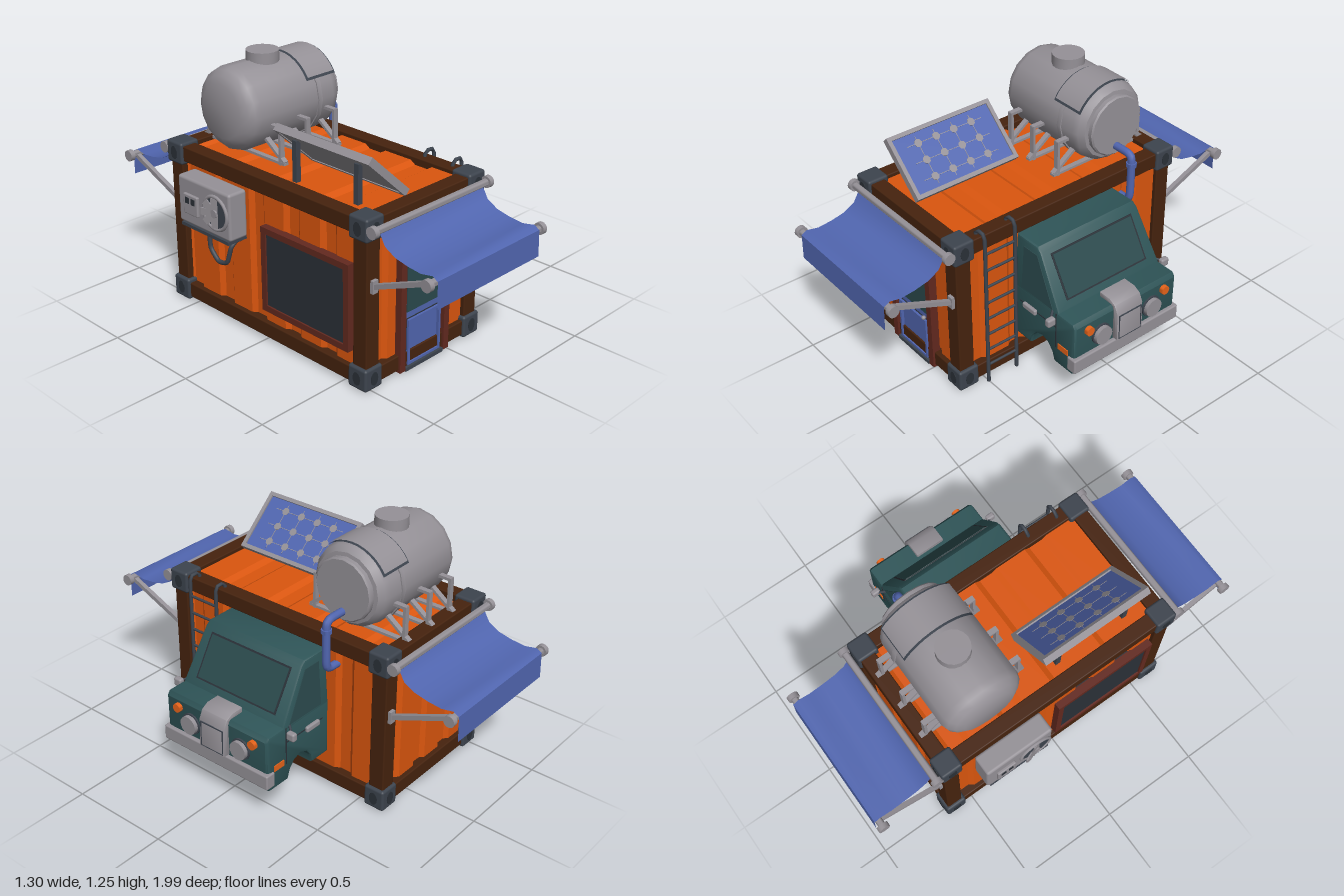
import * as THREE from 'three';
import { toCreasedNormals } from 'three/addons/utils/BufferGeometryUtils.js';
import { RoundedBoxGeometry } from 'three/addons/geometries/RoundedBoxGeometry.js';

const mat = (name, color, side = THREE.FrontSide) => {
  const m = new THREE.MeshStandardMaterial({ color, side });
  m.name = name;
  return m;
};
const V = (x, y, z) => new THREE.Vector3(x, y, z);

export function createModel() {
  const orange = mat('orange', 0xdb560e), brown = mat('dark brown', 0x46230e), slate = mat('slate', 0x3d444e);
  const grey = mat('grey', 0x959197), blue = mat('blue', 0x5166b0, THREE.DoubleSide), teal = mat('teal', 0x2f5558);
  const glass = mat('dark teal glass', 0x2b4a4d), maroon = mat('maroon', 0x63291f), amber = mat('amber', 0xe8641a);
  const dark = mat('charcoal', 0x2b3138);

  const root = new THREE.Group();
  const group = (name, parent = root) => {
    const g = new THREE.Group();
    g.name = name;
    parent.add(g);
    return g;
  };
  const add = (p, name, geo, m, pos = [0, 0, 0], rot = [0, 0, 0]) => {
    const mesh = new THREE.Mesh(geo, m);
    mesh.name = name;
    mesh.position.set(...pos);
    mesh.rotation.set(...rot);
    p.add(mesh);
    return mesh;
  };
  const box = (p, name, m, size, pos, rot) => add(p, name, new THREE.BoxGeometry(...size), m, pos, rot);
  const rbox = (p, name, m, size, pos, r = 0.012) => add(p, name, new RoundedBoxGeometry(...size, 2, r), m, pos);
  const cyl = (p, name, m, r, h, pos, rot, n = 16) => add(p, name, toCreasedNormals(new THREE.CylinderGeometry(r, r, h, n), 0.9), m, pos, rot);
  // square or round bar between two points
  const bar = (p, name, m, a, b, w, d = w, round = false) => {
    const len = a.distanceTo(b);
    const g = round ? new THREE.CylinderGeometry(w / 2, w / 2, len, 10) : new THREE.BoxGeometry(w, len, d);
    const mesh = add(p, name, g, m);
    mesh.position.copy(a).lerp(b, 0.5);
    mesh.quaternion.setFromUnitVectors(V(0, 1, 0), b.clone().sub(a).normalize());
    return mesh;
  };
  const tube = (p, name, m, pts, r, n = 32) => add(p, name, new THREE.TubeGeometry(new THREE.CatmullRomCurve3(pts.map(q => V(...q)), false, 'catmullrom', 0.3), n, r, 10), m);
  // rectangular outline in local xy
  const frame = (p, name, m, w, h, t, depth, pos, rot) => {
    const s = new THREE.Shape([[-w, -h], [w, -h], [w, h], [-w, h]].map(q => new THREE.Vector2(q[0] / 2, q[1] / 2)));
    const a = w / 2 - t, b = h / 2 - t;
    s.holes.push(new THREE.Path([[-a, -b], [-a, b], [a, b], [a, -b]].map(q => new THREE.Vector2(...q))));
    return add(p, name, new THREE.ExtrudeGeometry(s, { depth, bevelEnabled: false }).translate(0, 0, -depth / 2), m, pos, rot);
  };
  const extrude = (pts, depth, bevel = 0) => new THREE.ExtrudeGeometry(
    new THREE.Shape(pts.map(q => new THREE.Vector2(...q))),
    { depth: depth - 2 * bevel, bevelEnabled: bevel > 0, bevelSize: bevel, bevelOffset: -bevel, bevelThickness: bevel, bevelSegments: 2 }
  ).translate(0, 0, bevel - depth / 2);

  // ---- container: corrugated panels, frame and corner castings ----
  const box0 = group('container');
  box0.position.x = -0.16;
  const corrugated = (len, height, n) => {
    const pts = [[-len / 2, -0.02]], step = len / n;
    for (let i = 0; i < n; i++) {
      const x = -len / 2 + i * step;
      pts.push([x, 0], [x + step * 0.55, 0], [x + step * 0.65, -0.018], [x + step * 0.9, -0.018]);
    }
    pts.push([len / 2, 0], [len / 2, -0.03], [-len / 2, -0.03]);
    return extrude(pts.reverse(), height);
  };
  for (const s of [-1, 1]) {
    const end = corrugated(0.6, 0.66, 3).rotateX(-Math.PI / 2);
    add(box0, 'endWall', end, orange, [0, 0.415, s * 0.615], [0, s > 0 ? Math.PI : 0, 0]);
    const side = corrugated(1.14, 0.66, 5).rotateX(-Math.PI / 2);
    add(box0, 'sideWall', side, orange, [s * 0.345, 0.415, 0], [0, -s * Math.PI / 2, 0]);
    const deck = corrugated(1.14, 0.62, 4).rotateY(Math.PI / 2);
    add(box0, s > 0 ? 'roof' : 'floor', deck, orange, [0, s > 0 ? 0.79 : 0.04, 0], [s > 0 ? 0 : Math.PI, 0, 0]);
    for (const y of [0.057, 0.772]) {
      rbox(box0, 'endBeam', brown, [0.62, 0.075, 0.075], [0, y, s * 0.6], 0.006);
      rbox(box0, 'sideBeam', brown, [0.075, 0.075, 1.16], [s * 0.33, y, 0], 0.006);
    }
    for (const t of [-1, 1]) {
      rbox(box0, 'cornerPost', brown, [0.08, 0.66, 0.08], [s * 0.325, 0.415, t * 0.597], 0.006);
      for (const y of [0.06, 0.77]) {
        rbox(box0, 'cornerCasting', slate, [0.107, 0.108, 0.108], [s * 0.327, y, t * 0.596]);
        const ovalZ = cyl(box0, 'castingSlot', dark, 0.022, 0.006, [s * 0.327, y, t * 0.65], [Math.PI / 2, 0, 0]);
        ovalZ.scale.z = 1.5;
        const ovalX = cyl(box0, 'castingSlot', dark, 0.022, 0.006, [s * 0.38, y, t * 0.596], [0, 0, Math.PI / 2]);
        ovalX.scale.x = 1.5;
      }
    }
  }

  // ---- front door ----
  const door = group('door');
  box(door, 'doorLeaf', blue, [0.25, 0.72, 0.03], [-0.158, 0.375, 0.615]);
  box(door, 'doorWindow', glass, [0.215, 0.235, 0.008], [-0.157, 0.405, 0.63]);
  frame(door, 'lowerPanelFrame', blue, 0.215, 0.225, 0.012, 0.015, [-0.157, 0.14, 0.637]);
  frame(door, 'panelGroove', dark, 0.223, 0.233, 0.006, 0.006, [-0.157, 0.14, 0.63]);
  box(door, 'threshold', slate, [0.25, 0.018, 0.05], [-0.158, 0.012, 0.625]);
  for (const x of [-0.302, -0.012]) box(door, 'doorPost', maroon, [0.034, 0.74, 0.04], [x, 0.378, 0.628]);
  add(door, 'doorKnob', new THREE.SphereGeometry(0.011, 12, 8), grey, [-0.052, 0.275, 0.65]);

  // ---- awnings at both ends ----
  for (const s of [1, -1]) {
    const awning = group(s > 0 ? 'frontAwning' : 'backAwning');
    const q = Math.PI / 2;
    for (const [y, z] of [[0.775, 0.672], [0.645, 0.968]]) {
      cyl(awning, 'roller', grey, 0.017, 0.74, [-0.16, y, s * z], [0, 0, q]);
      for (const x of [-0.528, 0.208]) cyl(awning, 'rollerCap', grey, 0.028, 0.024, [x, y, s * z], [0, 0, q]);
    }
    const line = [[0.675, 0.76], [0.705, 0.71], [0.76, 0.68], [0.83, 0.665], [0.9, 0.658], [0.96, 0.67], [0.988, 0.655], [0.992, 0.53]];
    const cloth = new THREE.PlaneGeometry(0.665, 1, 1, line.length - 1), pos = cloth.attributes.position;
    for (let i = 0; i < pos.count; i++) {
      const [z, y] = line[Math.floor(i / 2)];
      pos.setXYZ(i, pos.getX(i), y, s * z);
    }
    if (s < 0) cloth.index.array.reverse();
    cloth.computeVertexNormals();
    add(awning, 'awningCloth', toCreasedNormals(cloth, 0.7), blue, [-0.158, 0, 0]);
    for (const x of [-0.488, 0.172]) {
      bar(awning, 'awningArm', grey, V(x, 0.505, s * 0.645), V(x, 0.64, s * 0.965), 0.022);
      box(awning, 'armBracket', grey, [0.032, 0.06, 0.02], [x, 0.505, s * 0.643]);
    }
  }

  // ---- water tank ----
  const tank = group('waterTank');
  tank.position.set(0, 1.015, -0.34);
  const prof = [[0, -0.458], [0.13, -0.458], [0.165, -0.44], [0.19, -0.415], [0.2, -0.385], [0.2, 0.06], [0.192, 0.09], [0.17, 0.115], [0.152, 0.118], [0.152, 0.138], [0.145, 0.145], [0, 0.145]];
  const lathe = new THREE.LatheGeometry(prof.map(p => new THREE.Vector2(...p)), 16);
  add(tank, 'tankBody', toCreasedNormals(lathe.rotateZ(-Math.PI / 2), 0.6), grey);
  cyl(tank, 'tankBand', grey, 0.206, 0.024, [-0.027, 0, 0], [0, 0, Math.PI / 2], 16);
  cyl(tank, 'fillerNeck', grey, 0.078, 0.08, [-0.2, 0.2, 0], [0, 0, 0], 18);
  // curved hatch plate with a dark edge
  for (const [m, r, w, a] of [[slate, 0.204, 0.182, 1.06], [grey, 0.209, 0.164, 1.0]]) {
    const arc = new THREE.CylinderGeometry(r, r, w, 12, 1, true, Math.PI / 2 - a, 2 * a);
    add(tank, 'hatchPlate', arc.rotateZ(Math.PI / 2), m);
  }
  for (const x of [-0.322, -0.158, 0.018]) {
    for (const s of [-1, 1]) {
      bar(tank, 'tankPost', grey, V(x, -0.225, s * 0.25), V(x, -0.045, s * 0.25), 0.026, 0.014);
      bar(tank, 'tankClamp', grey, V(x, -0.05, s * 0.255), V(x, -0.05, s * 0.185), 0.026, 0.014);
      bar(tank, 'tankStrut', grey, V(x, -0.21, s * 0.275), V(x, -0.12, s * 0.15), 0.026, 0.014);
    }
    box(tank, 'tankFoot', grey, [0.026, 0.012, 0.56], [x, -0.215, 0]);
  }
  tube(root, 'waterPipe', blue, [[0.13, 0.91, -0.34], [0.22, 0.91, -0.34], [0.246, 0.9, -0.34], [0.252, 0.87, -0.34], [0.252, 0.71, -0.34], [0.246, 0.675, -0.34], [0.225, 0.662, -0.34], [0.17, 0.66, -0.34]], 0.019);
  cyl(root, 'pipeCollar', blue, 0.025, 0.02, [0.252, 0.86, -0.34]);

  // ---- solar panel ----
  const solar = group('solarPanel');
  solar.position.set(-0.305, 0.915, 0.267);
  solar.rotation.z = -0.74;
  box(solar, 'panelBack', grey, [0.3, 0.02, 0.565], [0, -0.004, 0]);
  frame(solar, 'panelRim', grey, 0.315, 0.575, 0.02, 0.036, [0, 0, 0], [-Math.PI / 2, 0, 0]);
  box(solar, 'solarCells', blue, [0.276, 0.006, 0.536], [0, 0.007, 0]);
  for (const x of [-0.085, 0, 0.085]) {
    box(solar, 'cellLine', grey, [0.003, 0.002, 0.42], [x, 0.0105, 0]);
    for (const z of [-0.15, -0.05, 0.05, 0.15]) cyl(solar, 'cellContact', grey, 0.02, 0.003, [x, 0.0105, z], [0, 0, 0], 8);
  }
  for (const z of [-0.15, -0.05, 0.05, 0.15]) box(solar, 'cellLine', grey, [0.24, 0.002, 0.003], [0, 0.0105, z]);
  for (const z of [0.08, 0.455]) bar(root, 'solarPost', slate, V(-0.39, 0.78, z), V(-0.39, 0.975, z), 0.026);

  // ---- truck cab on the left side ----
  const cab = group('cab');
  const lower = [[0.19, 0.175], [0.305, 0.175], [0.315, 0.22], [0.345, 0.255], [0.385, 0.268], [0.425, 0.255], [0.455, 0.22], [0.47, 0.175], [0.595, 0.175], [0.608, 0.2], [0.61, 0.44], [0.595, 0.462], [0.19, 0.465]];
  add(cab, 'cabBody', toCreasedNormals(extrude(lower, 0.615, 0.015), 0.6), teal);
  const taper = g => {
    const p = g.attributes.position;
    for (let i = 0; i < p.count; i++) p.setZ(i, p.getZ(i) * (1 - 0.22 * (p.getY(i) - 0.45)));
    return toCreasedNormals(g, 0.6);
  };
  add(cab, 'cabUpper', taper(extrude([[0.19, 0.44], [0.505, 0.44], [0.495, 0.47], [0.355, 0.705], [0.33, 0.724], [0.19, 0.724]], 0.612, 0.012)), teal);
  add(cab, 'sideWindows', taper(extrude([[0.245, 0.465], [0.462, 0.465], [0.337, 0.685], [0.245, 0.685]], 0.618)), glass);
  for (const [w, h, o, m] of [[0.225, 0.48, 0, dark], [0.208, 0.462, 0.002, glass]])
    box(cab, 'windscreen', m, [0.008, w, h], [0.421 + o, 0.591 + o / 2, 0], [0, 0, 0.54]);
  for (const s of [-1, 1]) {
    box(cab, 'doorSeam', dark, [0.25, 0.005, 0.004], [0.36, 0.385, s * 0.308]);
    box(cab, 'doorSeam', dark, [0.005, 0.19, 0.004], [0.487, 0.365, s * 0.308]);
    rbox(cab, 'doorHandle', grey, [0.09, 0.03, 0.02], [0.312, 0.384, s * 0.314], 0.008);
    box(cab, 'sideMarker', amber, [0.066, 0.03, 0.01], [0.537, 0.287, s * 0.307]);
    bar(cab, 'mirrorArm', slate, V(0.455, 0.46, s * 0.3), V(0.49, 0.44, s * 0.345), 0.012, 0.012, true);
    rbox(cab, 'mirror', grey, [0.03, 0.042, 0.045], [0.492, 0.437, s * 0.345], 0.01);
    cyl(cab, 'headlight', grey, 0.046, 0.03, [0.622, 0.348, s * 0.152], [0, 0, Math.PI / 2], 18);
    cyl(cab, 'headlightRim', slate, 0.053, 0.012, [0.612, 0.348, s * 0.152], [0, 0, Math.PI / 2], 18);
    cyl(cab, 'indicator', amber, 0.022, 0.03, [0.615, 0.407, s * 0.228], [0, 0, Math.PI / 2]);
  }
  const hood = [[0.515, 0.45], [0.515, 0.485], [0.58, 0.484], [0.615, 0.465], [0.635, 0.425], [0.64, 0.28], [0.6, 0.28], [0.6, 0.45]].reverse();
  add(cab, 'grilleCowl', toCreasedNormals(extrude(hood, 0.155, 0.006), 0.7), grey);
  frame(cab, 'grilleRim', slate, 0.135, 0.13, 0.004, 0.005, [0.638, 0.35, 0], [0, Math.PI / 2, 0]);
  rbox(cab, 'bumper', grey, [0.055, 0.075, 0.635], [0.6, 0.24, 0], 0.008);

  // ---- ladder ----
  const ladder = group('ladder');
  for (const z of [0.335, 0.5]) {
    tube(ladder, 'ladderRail', slate, [[0.236, 0.003, z], [0.236, 0.4, z], [0.236, 0.8, z], [0.228, 0.83, z], [0.2, 0.835, z], [0.175, 0.825, z], [0.172, 0.79, z]], 0.009);
  }
  for (let i = 0; i < 8; i++) bar(ladder, 'ladderRung', slate, V(0.236, 0.1 + i * 0.09, 0.335), V(0.236, 0.1 + i * 0.09, 0.5), 0.013, 0.013, true);

  // ---- air conditioner and framed panel on the right side ----
  const ac = group('airConditioner');
  rbox(ac, 'acCase', grey, [0.105, 0.232, 0.36], [-0.572, 0.608, -0.29], 0.014);
  box(ac, 'acShelf', slate, [0.11, 0.016, 0.33], [-0.57, 0.482, -0.29]);
  const fan = group('fan', ac);
  fan.position.set(-0.626, 0.61, -0.205);
  fan.rotation.y = -Math.PI / 2;
  cyl(fan, 'fanBack', slate, 0.078, 0.006, [0, 0, 0], [Math.PI / 2, 0, 0], 24);
  add(fan, 'fanRing', new THREE.TorusGeometry(0.08, 0.009, 8, 24), grey);
  for (let i = 0; i < 4; i++) box(fan, 'fanBlade', grey, [0.035, 0.145, 0.006], [0, 0, 0.006], [0, 0.3, i * Math.PI / 4]);
  cyl(fan, 'fanHub', grey, 0.02, 0.016, [0, 0, 0.006], [Math.PI / 2, 0, 0]);
  rbox(ac, 'controlBox', grey, [0.018, 0.1, 0.1], [-0.629, 0.6, -0.37], 0.006);
  box(ac, 'controlSlot', dark, [0.006, 0.03, 0.025], [-0.637, 0.62, -0.35]);
  box(ac, 'controlSlot', dark, [0.006, 0.03, 0.025], [-0.637, 0.62, -0.39]);
  tube(ac, 'acHose', slate, [[-0.565, 0.5, -0.33], [-0.565, 0.38, -0.325], [-0.565, 0.325, -0.27], [-0.565, 0.34, -0.21], [-0.56, 0.42, -0.185], [-0.53, 0.45, -0.18], [-0.49, 0.45, -0.18]], 0.011);
  const hatch = group('sideHatch');
  box(hatch, 'hatchPanel', dark, [0.04, 0.39, 0.52], [-0.512, 0.375, 0.27]);
  frame(hatch, 'hatchFrame', maroon, 0.545, 0.42, 0.03, 0.04, [-0.52, 0.375, 0.27], [0, Math.PI / 2, 0]);

  return root;
}
